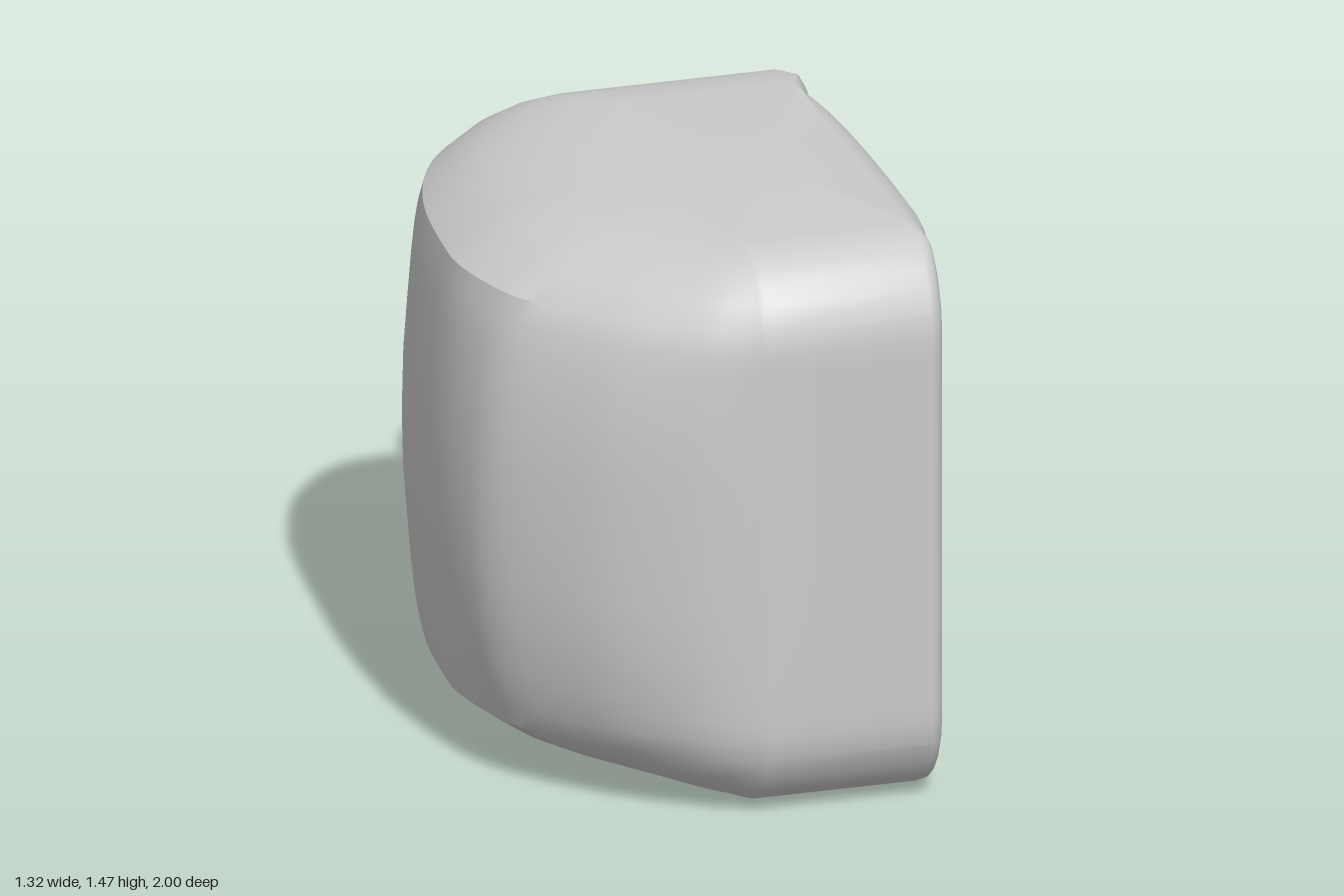
import * as THREE from 'three';
import { mergeGeometries, toCreasedNormals } from 'three/addons/utils/BufferGeometryUtils.js';

const material = new THREE.MeshStandardMaterial({ color: 0xcccccc, side: THREE.DoubleSide });
const V = (x, y) => new THREE.Vector2(x, y);
const HALF = 0.735; // half height of the housing

function add(parent, name, geometry) {
  const mesh = new THREE.Mesh(geometry, material);
  mesh.name = name;
  parent.add(mesh);
}

// Plan outline of the housing, as (x, z), from the front right corner round the back
function planOutline() {
  const s = new THREE.Shape();
  s.moveTo(0.42, 1);
  s.quadraticCurveTo(0.45, 0.99, 0.46, 0.94);
  const side = [V(0.525, 0.6), V(0.575, 0.3), V(0.6, 0.1), V(0.625, -0.1), V(0.64, -0.25), V(0.655, -0.4)];
  for (const p of side) s.lineTo(p.x, p.y);
  s.lineTo(0.655, -0.52);
  s.quadraticCurveTo(0.655, -0.56, 0.62, -0.56);
  for (const x of [0.56, 0.49, 0.42, 0, -0.22]) s.lineTo(x, -0.56);
  s.splineThru([V(-0.33, -0.54), V(-0.44, -0.46), V(-0.55, -0.3), V(-0.63, -0.05), V(-0.66, 0.3),
    V(-0.645, 0.5), V(-0.6, 0.63), V(-0.48, 0.77), V(-0.35, 0.88), V(-0.17, 0.97), V(0, 1)]);
  const pts = s.getPoints(5);
  return pts.filter((p, i) => i === 0 || p.distanceTo(pts[i - 1]) > 1e-4);
}

// Housing: the outline stacked in height, each side drawn in by its own rule
function housingGeometry() {
  const outline = planOutline();
  // distance from mid height, left reach, right limit
  const half = [[0, 0.66, 1], [0.15, 0.656, 0.747], [0.28, 0.645, 0.661], [0.4, 0.634, 0.628],
    [0.46, 0.627, 0.615], [0.51, 0.62, 0.603], [0.57, 0.608, 0.574], [0.63, 0.53, 0.535],
    [0.67, 0.45, 0.505], [0.7, 0.36, 0.475], [0.722, 0.24, 0.447], [0.735, 0.06, 0.42]];
  const rows = [...half.slice(1).reverse().map(([h, l, r]) => [-h, l, r]), ...half];
  const round = (h, r) => Math.sqrt(Math.max(0, 1 - Math.max(0, (h - HALF + r) / r) ** 2));
  const softMin = (a, b) => a * b / (a ** 8 + b ** 8) ** 0.125;
  const pos = [], index = [], n = outline.length;
  for (const [y, left, right] of rows) {
    const h = Math.abs(y);
    const front = 0.77 + 0.23 * round(h, 0.23), back = -0.2 - 0.36 * round(h, 0.29);
    const softLeft = 0.35 * (Math.max(0, h - 0.2) / 0.535) ** 2;
    const softRight = 0.28 * (Math.max(0, h - 0.15) / 0.585) ** 2;
    for (const p of outline) {
      let x = p.x < 0 ? p.x * left / 0.66
        : p.x > 0.42 ? 0.42 + softMin(p.x - 0.42, right - 0.42) : p.x;
      let dz = (p.y - 0.3) * (p.y > 0.3 ? (front - 0.3) / 0.7 : (0.3 - back) / 0.86);
      // extra rounding of the front left and back right corners
      if (p.x < 0 && p.y > 0.3) {
        const pull = 1 - softLeft * (-p.x / 0.66) * ((p.y - 0.3) / 0.7);
        x *= pull;
        dz *= pull;
      } else if (p.x > 0.42 && p.y < 0.3) {
        const pull = softRight * ((p.x - 0.42) / 0.235) * ((0.3 - p.y) / 0.86) ** 2;
        x -= (x - 0.42) * 2 * pull;
        dz *= 1 - pull;
      }
      pos.push(x, y + HALF, 0.3 + dz);
    }
  }
  for (let i = 0; i < rows.length - 1; i++) {
    for (let j = 0; j < n; j++) {
      const a = i * n + j, b = i * n + (j + 1) % n;
      index.push(a, b, b + n, a, b + n, a + n);
    }
  }
  // flat bottom and top
  const centre = rows.length * n, last = (rows.length - 1) * n;
  pos.push(0.2, 0, 0.3, 0.2, 2 * HALF, 0.3);
  for (let j = 0; j < n; j++) {
    const k = (j + 1) % n;
    index.push(centre, k, j, centre + 1, last + j, last + k);
  }
  const g = new THREE.BufferGeometry();
  g.setAttribute('position', new THREE.Float32BufferAttribute(pos, 3));
  g.setIndex(index);
  return toCreasedNormals(g, 0.5);
}

// Drilled ring between two z positions; holes are [angle, circle radius, hole radius]
function ringGeometry(outer, bore, z0, z1, holes) {
  const s = new THREE.Shape();
  s.absarc(0, 0, outer, 0, Math.PI * 2);
  for (const [angle, at, r] of [[0, 0, bore], ...holes]) {
    const hole = new THREE.Path();
    hole.absarc(Math.cos(angle) * at, Math.sin(angle) * at, r, 0, Math.PI * 2, true);
    s.holes.push(hole);
  }
  const g = new THREE.ExtrudeGeometry(s, { depth: z1 - z0, bevelEnabled: false, curveSegments: 18 });
  return toCreasedNormals(g.translate(0, 0, z0), 0.5);
}

// Tube of 32 staves: four carry a slot, one a round hole
function tubeGeometry() {
  const count = 32, outer = 0.28, inner = 0.2, w = outer * Math.tan(Math.PI / count);
  const staves = [];
  for (let k = 0; k < count; k++) {
    const s = new THREE.Shape([V(-w, 0.66), V(w, 0.66), V(w, 0.96), V(-w, 0.96)]);
    const hole = new THREE.Path();
    if (k % 8 === 0) {
      hole.absarc(0, 0.782, 0.018, 0, Math.PI);
      hole.absarc(0, 0.718, 0.018, Math.PI, Math.PI * 2);
      s.holes.push(hole);
    } else if (k === 2) {
      hole.absarc(0, 0.922, 0.022, 0, Math.PI * 2);
      s.holes.push(hole);
    }
    const g = new THREE.ExtrudeGeometry(s, { depth: outer - inner, bevelEnabled: false, curveSegments: 6 });
    g.translate(0, 0, inner);
    // taper each stave towards the axis
    const p = g.attributes.position;
    for (let i = 0; i < p.count; i++) p.setX(i, p.getX(i) * p.getZ(i) / outer);
    g.rotateX(-Math.PI / 2).rotateZ(-k * Math.PI * 2 / count);
    staves.push(g);
  }
  const tube = mergeGeometries(staves);
  tube.computeVertexNormals();
  return tube;
}

export function createModel() {
  const model = new THREE.Group();
  model.name = 'housingWithFlangedNeck';
  add(model, 'housing', housingGeometry());

  const neck = new THREE.Group();
  neck.name = 'neck';
  neck.position.set(0.205, HALF, 0);
  model.add(neck);

  const step = Math.PI / 4;
  const baseHoles = [[0, 0.34, 0.028], [Math.PI, 0.34, 0.028]];
  const endHoles = [[step / 2, 0.31, 0.018]];
  for (let i = 0; i < 8; i++) {
    baseHoles.push([(i + 0.5) * step, 0.332, 0.02]);
    endHoles.push([i * step, 0.31, 0.018]);
  }
  add(neck, 'baseFlange', ringGeometry(0.398, 0.2, -0.66, -0.555, baseHoles));
  add(neck, 'endFlange', ringGeometry(0.36, 0.175, -1, -0.957, endHoles));
  add(neck, 'tube', tubeGeometry());

  // concave fillet between base flange and tube
  const curve = [];
  for (let i = 0; i <= 6; i++) {
    const a = i / 6 * Math.PI / 2;
    curve.push(V(0.325 - 0.045 * Math.sin(a), 0.705 - 0.045 * Math.cos(a)));
  }
  add(neck, 'fillet', new THREE.LatheGeometry(curve, 32).rotateX(-Math.PI / 2));
  return model;
}
